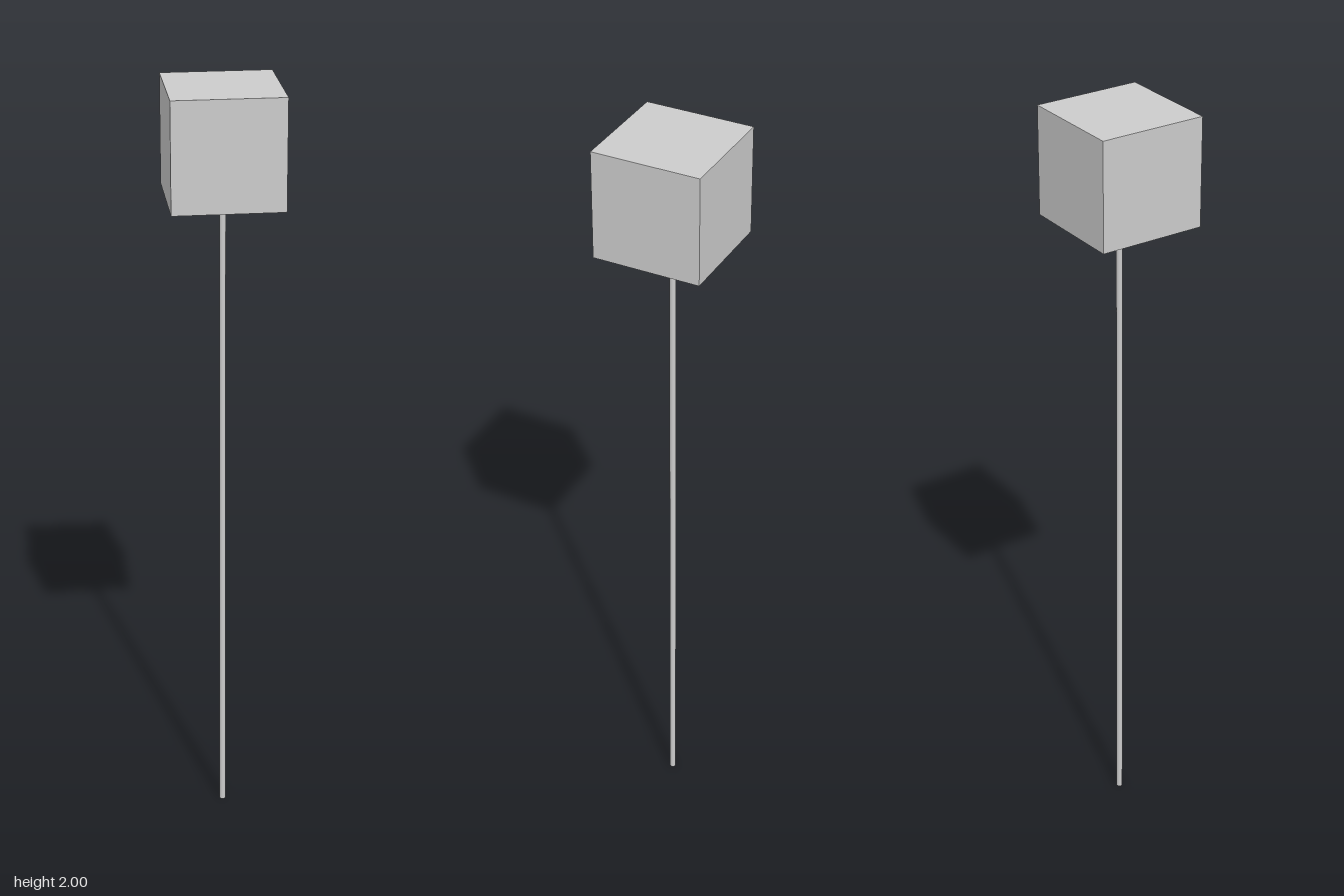
import * as THREE from 'three';

const HEIGHT = 2;
const BOX_SIZE = 0.277;
const POLE_RADIUS = 0.008;

export function createModel() {
  const model = new THREE.Group();
  const material = new THREE.MeshStandardMaterial({ color: 0xcccccc });

  // Slender round pole, ending at the underside of the box
  const poleHeight = HEIGHT - BOX_SIZE;
  const pole = new THREE.Mesh(
    new THREE.CylinderGeometry(POLE_RADIUS, POLE_RADIUS, poleHeight, 16),
    material
  );
  pole.name = 'pole';
  pole.position.y = poleHeight / 2;

  // Cube on top of the pole
  const box = new THREE.Mesh(new THREE.BoxGeometry(BOX_SIZE, BOX_SIZE, BOX_SIZE), material);
  box.name = 'topBox';
  box.position.y = HEIGHT - BOX_SIZE / 2;

  model.add(pole, box);
  return model;
}
